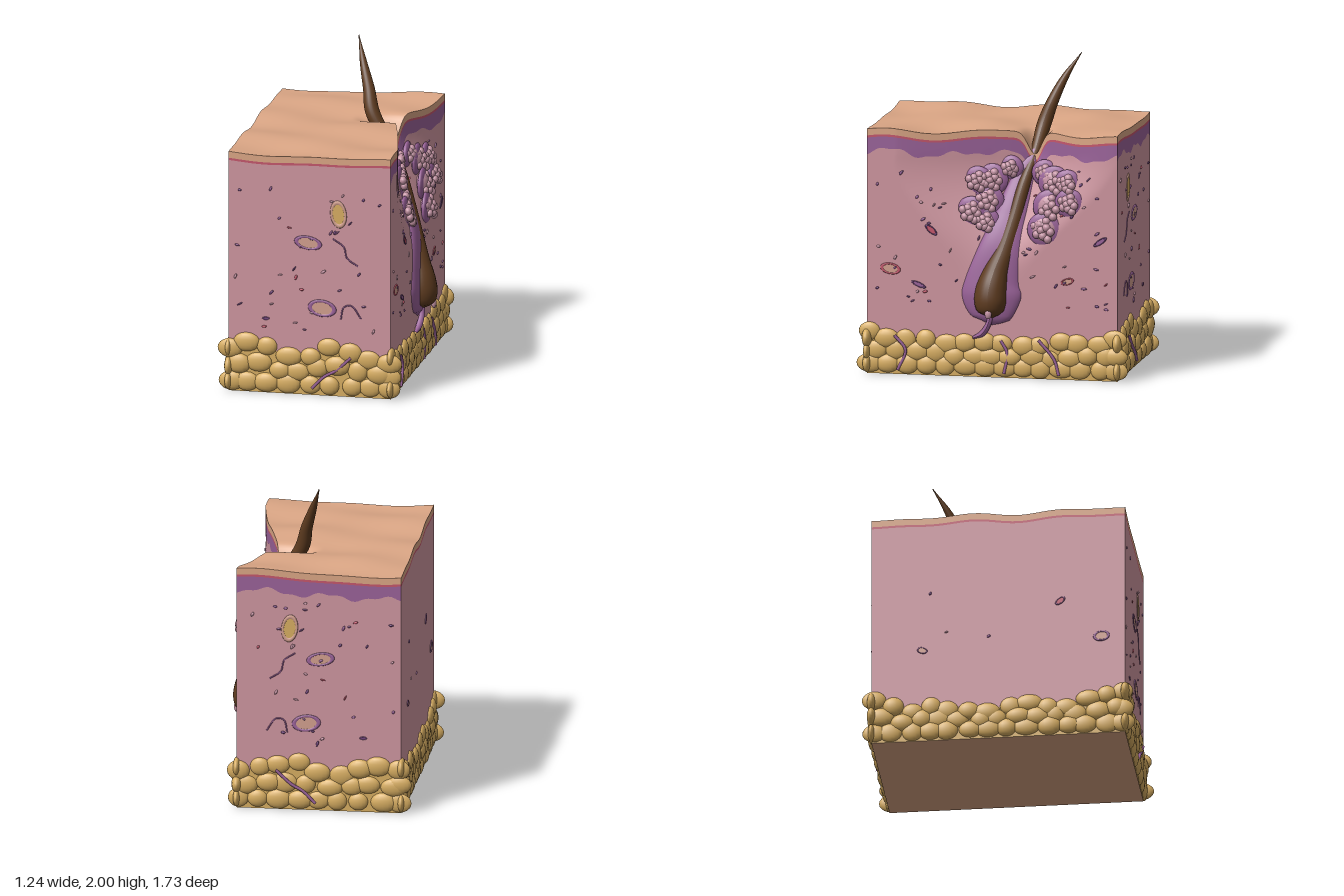
import * as THREE from 'three';

const X0 = -0.57, X1 = 0.47, Z = 0.8;
const mat = (name, color) => Object.assign(new THREE.MeshStandardMaterial({ color }), { name });
const smooth = THREE.MathUtils.smoothstep, clamp = THREE.MathUtils.clamp;
const V = (x, y, z) => new THREE.Vector3(x, y, z);

// Cut face: sinks inward around the follicle towards the top
function faceX(y, z) {
  const ramp = smooth(y, 0.6, 1.4);
  const d = z + 0.235 * clamp((y - 0.55) / 0.85, 0, 1);
  const width = (d > 0 ? 0.85 : 0.57) * (0.3 + 0.7 * ramp);
  return X1 - 0.2 * ramp * Math.pow(Math.max(0, 1 - Math.abs(d) / width), d > 0 ? 1.2 : 1.6);
}

// Skin surface height, with gentle folds and a funnel where the hair emerges
function topY(x, z) {
  const folds = 0.009 * Math.sin(5 * x + 8 * z) + 0.007 * Math.sin(13 * z - 4 * x + 1) + 0.004 * Math.sin(11 * x + 3 * z);
  const funnel = Math.exp(-(((z + 0.235) / 0.06) ** 2)) * smooth(x, 0, 0.28);
  return 1.545 + folds - 0.15 * funnel;
}

// Grid surface from f(s, t); s runs right and t up as seen from outside
function sheet(f, nu, nv) {
  const pos = [], idx = [];
  for (let j = 0; j <= nv; j++) for (let i = 0; i <= nu; i++) pos.push(...f(i / nu, j / nv).toArray());
  for (let j = 0; j < nv; j++) for (let i = 0; i < nu; i++) {
    const a = j * (nu + 1) + i, b = a + 1, c = a + nu + 1, d = c + 1;
    idx.push(a, b, d, a, d, c);
  }
  const g = new THREE.BufferGeometry();
  g.setAttribute('position', new THREE.Float32BufferAttribute(pos, 3));
  g.setIndex(idx);
  g.computeVertexNormals();
  return g;
}

// Tube whose radius follows rows of [x, y, z, radius]; flat squashes it in x
function taper(rows, n, m, flat = 1) {
  const path = new THREE.CatmullRomCurve3(rows.map(r => V(r[0], r[1], r[2])));
  const radius = new THREE.SplineCurve(rows.map((r, i) => new THREE.Vector2(i, r[3])));
  const g = new THREE.TubeGeometry(path, n, 1, m), p = g.attributes.position, v = V(0, 0, 0);
  for (let i = 0; i <= n; i++) {
    const c = path.getPointAt(i / n), r = Math.max(0.001, radius.getPoint(path.getUtoTmapping(i / n)).y);
    for (let j = 0; j <= m; j++) {
      const k = i * (m + 1) + j;
      v.fromBufferAttribute(p, k).sub(c).multiplyScalar(r);
      v.x *= flat;
      v.add(c);
      p.setXYZ(k, v.x, v.y, v.z);
    }
  }
  g.computeVertexNormals();
  return g;
}

export function createModel() {
  const root = new THREE.Group();
  root.name = 'skinBlock';
  const M = {
    skin: mat('skin peach', 0xdba685), dermis: mat('dermis pink', 0xcf96a0), purple: mat('tissue purple', 0x9a6299),
    red: mat('line red', 0xc4566c), fat: mat('fat yellow', 0xd8ae62), hair: mat('hair brown', 0x5f3c20),
    gland: mat('gland mauve', 0xc795a6), vessel: mat('vessel violet', 0x75477f), lumen: mat('lumen pale', 0xd3a08f),
  };
  let seed = 7;
  const rnd = (a = 0, b = 1) => {
    seed = (seed * 16807) % 2147483647;
    return a + (b - a) * seed / 2147483647;
  };
  const add = (parent, name, geo, material) => {
    const m = new THREE.Mesh(geo, material);
    m.name = name;
    parent.add(m);
    return m;
  };
  const ball = new THREE.SphereGeometry(1, 16, 10), fleck = new THREE.SphereGeometry(1, 8, 6);
  const ring = new THREE.TorusGeometry(1, 0.2, 8, 28), disc = new THREE.CircleGeometry(1, 28);

  const sides = [
    { name: 'cutSide', rot: Math.PI / 2, from: Z, to: -Z, nu: 130, purple: 0.085, flecks: 75,
      at: (u, y) => V(faceX(y, u), y, u), top: u => topY(faceX(1.55, u), u),
      fat: u => 0.27 + 0.08 * (u / Z) ** 4 + 0.015 * Math.sin(13 * u + 1) },
    { name: 'frontSide', rot: 0, from: X0, to: X1, nu: 50, purple: 0, flecks: 32,
      at: (u, y) => V(u, y, Z), top: u => topY(u, Z), fat: u => 0.34 + 0.035 * Math.sin(11 * u) },
    { name: 'backSide', rot: Math.PI, from: X1, to: X0, nu: 50, purple: 0.085, flecks: 32,
      at: (u, y) => V(u, y, -Z), top: u => topY(u, -Z), fat: u => 0.34 + 0.035 * Math.sin(11 * u) },
    { name: 'plainSide', rot: -Math.PI / 2, from: -Z, to: Z, nu: 70, purple: 0, flecks: 3,
      at: (u, y) => V(X0, y, u), top: u => topY(X0, u), fat: u => 0.27 + 0.08 * (u / Z) ** 4 + 0.015 * Math.sin(13 * u) },
  ];

  // Group standing on a side, with its local z pointing outwards
  const spot = (side, name, u, y, tilt = 0) => {
    const g = new THREE.Group();
    g.name = name;
    g.position.copy(side.at(u, y));
    g.rotation.set(0, side.rot, tilt);
    root.add(g);
    return g;
  };
  const vessel = (side, u, y, a, b, tilt, rim, fill) => {
    const g = spot(side, 'vessel', u, y, tilt);
    add(g, 'vesselWall', ring, rim).scale.set(a, b, 0.03);
    const d = add(g, 'vesselLumen', disc, fill);
    d.scale.set(a, b, 1);
    d.position.z = 0.003;
  };

  for (const s of sides) {
    // Layers of each side, from the fat up to the skin
    const wave = u => s.purple && s.purple + 0.016 * Math.sin(17 * u) + 0.008 * Math.sin(41 * u);
    const lines = [u => 0, u => s.fat(u) - 0.06, u => s.top(u) - 0.056 - wave(u), u => s.top(u) - 0.056, u => s.top(u) - 0.042, s.top];
    const layers = [['fatBacking', M.fat, 2], ['dermis', M.dermis, s.name === 'cutSide' ? 45 : 4],
      ['lowerEpidermis', M.purple, 3], ['redLine', M.red, 1], ['skinEdge', M.skin, 2]];
    layers.forEach(([name, m, nv], k) => {
      if (name === 'lowerEpidermis' && !s.purple) return;
      add(root, name, sheet((a, t) => {
        const u = s.from + (s.to - s.from) * a;
        return s.at(u, lines[k](u) + (lines[k + 1](u) - lines[k](u)) * t);
      }, s.nu, nv), m);
    });

    // Rows of fat cells
    const len = Math.abs(s.to - s.from), n = Math.round(len / 0.125);
    for (let row = 0; row < 3; row++) for (let i = 0; i <= n; i++) {
      const f = clamp((i + (row % 2 ? 0.5 : 0) + rnd(-0.15, 0.15)) / n, 0.01, 0.99);
      const u = s.from + (s.to - s.from) * f, high = s.fat(u);
      const y = [0.066, high * 0.5, high - 0.065][row] + (row ? rnd(-0.015, 0.015) : 0);
      const c = add(root, 'fatCell', ball, M.fat);
      c.position.copy(s.at(u, y));
      c.rotation.y = s.rot;
      c.scale.set(rnd(0.062, 0.085), rnd(0.056, 0.065), rnd(0.022, 0.034));
    }

    // Small scattered cells
    for (let i = 0; i < s.flecks; i++) {
      const u = s.from + (s.to - s.from) * rnd(0.04, 0.96);
      const g = spot(s, 'smallCell', u, rnd(0.42, 1.36), rnd(-0.3, 1.3));
      add(g, 'cell', fleck, [M.vessel, M.purple, M.gland, M.red][i % 7 === 6 ? 3 : i % 3])
        .scale.set(rnd(0.011, 0.02), rnd(0.005, 0.009), 0.008);
    }
  }

  // Skin top and flat underside
  add(root, 'skinTop', sheet((s, t) => {
    const z = Z - 2 * Z * t, x = X0 + (faceX(1.55, z) - X0) * s;
    return V(x, topY(x, z), z);
  }, 70, 130), M.skin);
  add(root, 'underside', sheet((s, t) => V(X0 + (X1 - X0) * s, 0, -Z + 2 * Z * t), 1, 1), M.skin);

  // Vessels, duct and nerves on the front and back
  const [cut, front, back, plain] = sides;
  for (const [s, k] of [[front, 1], [back, -1]]) {
    vessel(s, -0.06, 0.985, 0.075, 0.037, -0.15 * k, M.purple, M.lumen);
    vessel(s, 0.03, 0.565, 0.077, 0.046, -0.12 * k, M.purple, M.lumen);
    vessel(s, 0.135, 1.18, 0.044, 0.075, 0.12 * k, M.lumen, M.fat);
    vessel(s, -0.33, 0.48, 0.02, 0.009, 0, M.purple, M.vessel);
    for (const pts of [[[0.1, 1.02], [0.17, 0.97], [0.19, 0.9], [0.26, 0.85]], [[0.15, 0.5], [0.17, 0.58], [0.22, 0.59], [0.28, 0.51]],
      [[-0.03, 0.05], [0.05, 0.13], [0.12, 0.17], [0.22, 0.26]]]) {
      const low = pts[0][1] < 0.1;
      const path = new THREE.CatmullRomCurve3(pts.map(p => V(p[0], p[1], k * (Z + (low ? 0.024 : 0)))));
      add(root, low ? 'fatSeptum' : 'nerve', new THREE.TubeGeometry(path, 20, low ? 0.01 : 0.005, 6), M.purple);
    }
  }

  // Vessels on the long sides
  for (const [u, y, a, b, tilt, rim, fill] of [
    [0.65, 0.67, 0.055, 0.03, -0.15, M.red, M.lumen], [0.39, 0.925, 0.04, 0.017, -0.7, M.vessel, M.red],
    [0.47, 0.575, 0.042, 0.013, -0.4, M.vessel, M.purple], [-0.48, 0.625, 0.036, 0.018, 0.3, M.red, M.lumen],
    [-0.69, 0.885, 0.042, 0.014, 0.6, M.vessel, M.purple]]) {
    vessel(cut, u, y, a, b, tilt, rim, fill);
    if (Math.abs(u) !== 0.47 && u !== -0.69) vessel(plain, u, y, a * 0.8, b, -tilt, M.purple, rim === M.red ? M.lumen : M.red);
  }

  // Oil glands: purple capsules packed with small lobules
  const glands = [
    [[-0.09, 1.31, 0.07], [0.02, 1.24, 0.09], [0.11, 1.23, 0.085], [0.04, 1.11, 0.09], [0.14, 1.04, 0.09], [0.05, 0.98, 0.08]],
    [[-0.31, 1.29, 0.075], [-0.38, 1.24, 0.095], [-0.47, 1.24, 0.08], [-0.49, 1.12, 0.085], [-0.36, 1.09, 0.1], [-0.33, 0.95, 0.1]],
  ];
  for (const lobes of glands) for (const [z, y, r] of lobes) {
    add(spot(cut, 'glandCapsule', z, y), 'capsule', ball, M.purple).scale.set(r + 0.01, r + 0.01, 0.026);
    add(spot(cut, 'glandLobe', z, y), 'lobe', ball, M.gland).scale.set(r - 0.018, r - 0.018, 0.042);
    for (let i = 0; i < 9; i++) {
      const a = i * 2.4, d = (r - 0.032) * Math.sqrt((i + 0.4) / 9);
      const b = add(spot(cut, 'glandLobule', z + d * Math.cos(a), y + d * Math.sin(a)), 'lobule', fleck, M.gland);
      b.position.z = 0.022 + 0.018 * (1 - d / r);
      b.scale.set(0.027, 0.027, 0.024);
    }
  }

  // Follicle sheath with its root stalk
  add(root, 'follicleSheath', taper([[0.47, 0.335, 0.01, 0.01], [0.47, 0.375, 0.005, 0.12], [0.46, 0.5, 0.005, 0.19],
    [0.455, 0.6, 0, 0.18], [0.44, 0.8, -0.045, 0.14], [0.385, 1, -0.1, 0.105], [0.315, 1.2, -0.155, 0.082],
    [0.275, 1.35, -0.21, 0.045], [0.25, 1.42, -0.23, 0.015]], 60, 28, 0.3), M.purple);
  add(root, 'rootStalk', taper([[0.5, 0.41, 0, 0.016], [0.5, 0.34, 0.02, 0.018], [0.49, 0.28, 0.06, 0.02],
    [0.48, 0.25, 0.12, 0.01]], 20, 10), M.purple);
  for (const pts of [[[0.25, 0.62], [0.16, 0.55], [0.03, 0.6]], [[0.24, -0.06], [0.16, -0.1], [0.03, -0.08]], [[0.25, -0.3], [0.13, -0.4], [0.03, -0.43]]])
    add(root, 'fatSeptum', new THREE.TubeGeometry(new THREE.CatmullRomCurve3(pts.map(p => V(X1 + 0.022, p[0], p[1]))), 16, 0.01, 6), M.purple);

  // Hair from bulb to tip
  add(root, 'hair', taper([[0.5, 0.385, 0, 0.01], [0.5, 0.42, 0, 0.078], [0.495, 0.48, 0.005, 0.102], [0.485, 0.56, 0, 0.1],
    [0.46, 0.67, -0.025, 0.084], [0.43, 0.8, -0.07, 0.068], [0.38, 1, -0.125, 0.053], [0.32, 1.2, -0.172, 0.043],
    [0.24, 1.38, -0.225, 0.034], [0.125, 1.56, -0.262, 0.045], [0.09, 1.7, -0.31, 0.037], [0.04, 1.85, -0.38, 0.023],
    [-0.01, 2, -0.475, 0.003]], 90, 24), M.hair);
  const papilla = add(root, 'papilla', ball, M.gland);
  papilla.position.set(0.575, 0.42, 0.005);
  papilla.scale.set(0.016, 0.032, 0.022);

  return root;
}
